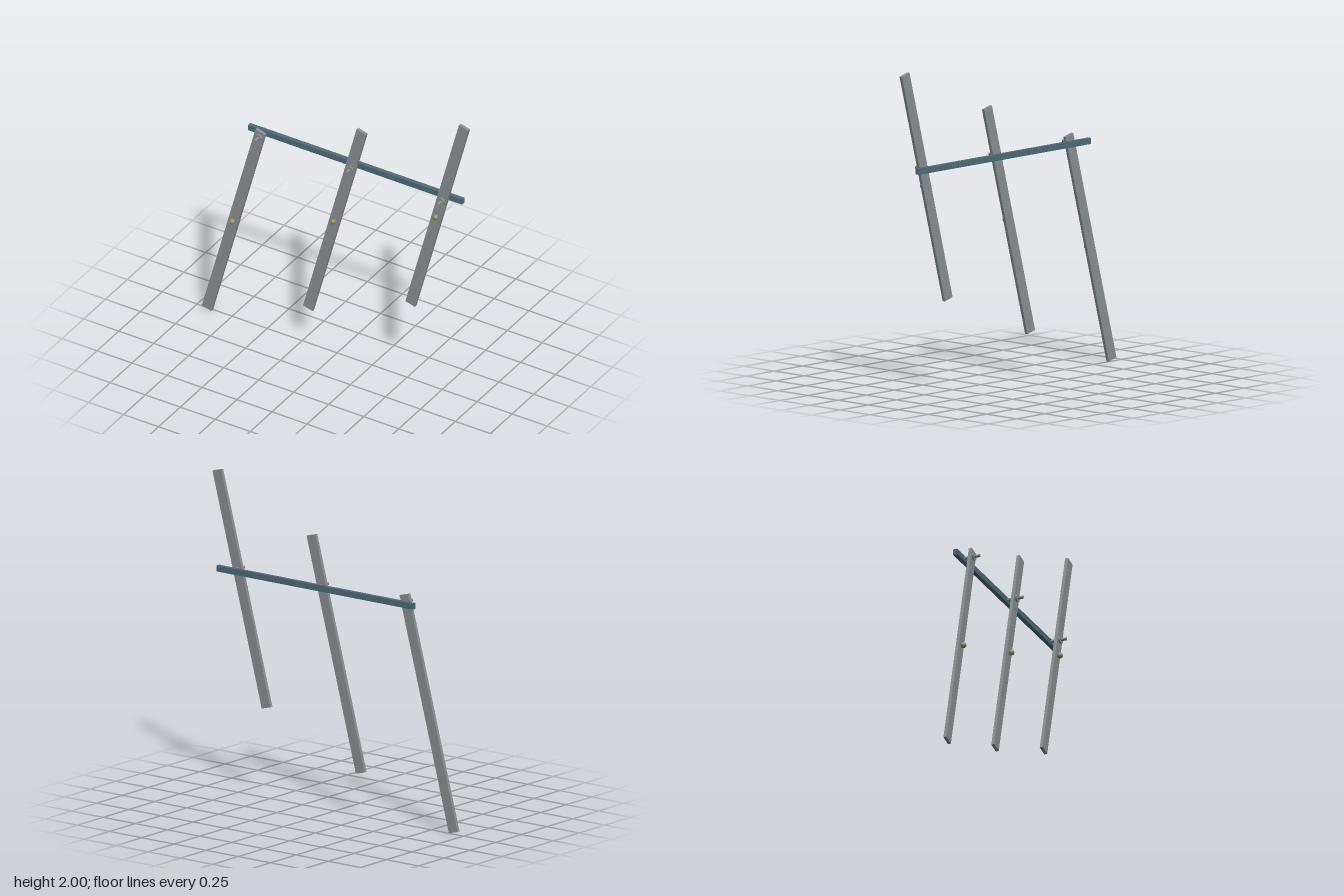
import * as THREE from 'three';

const mat = (color) => new THREE.MeshStandardMaterial({ color });

export function createModel() {
  const model = new THREE.Group();
  const steel = mat(0x8b9194), blue = mat(0x4f6d7a), brass = mat(0xa08c62);
  const tilt = THREE.MathUtils.degToRad(15);
  const railY = 1.398;

  const add = (parent, name, geometry, material, x, y, z) => {
    const mesh = new THREE.Mesh(geometry, material);
    mesh.name = name;
    mesh.position.set(x, y, z);
    parent.add(mesh);
    return mesh;
  };

  // Horizontal rail behind the bars
  add(model, 'rail', new THREE.BoxGeometry(1.528, 0.037, 0.027), blue, 0.104, railY - 0.001, -0.0515);

  const barGeo = new THREE.BoxGeometry(0.07, 1.48, 0.02);
  const pinGeo = new THREE.CylinderGeometry(0.0095, 0.0095, 0.105, 24).rotateX(Math.PI / 2);
  const collarGeo = new THREE.CylinderGeometry(0.025, 0.025, 0.01, 32).rotateX(Math.PI / 2);
  const markerGeo = new THREE.SphereGeometry(0.018, 24, 16);

  // Each leaning bar: pivot x on the rail, height of the bar's middle
  [[-0.549, 0.726], [0.104, 0.985], [0.757, 1.278]].forEach(([pivotX, midY], i) => {
    const unit = new THREE.Group();
    unit.name = `leaningBar${i + 1}`;
    const midX = pivotX - (railY - midY) * Math.tan(tilt);
    add(unit, 'bar', barGeo, steel, midX, midY, 0.01).rotation.z = -tilt;
    // Pivot pin running from the rail through the bar, with its collar
    add(unit, 'pivotPin', pinGeo, steel, pivotX, railY, 0.0125);
    add(unit, 'pivotCollar', collarGeo, steel, pivotX, railY, 0.025);
    // Ball marking the middle of the bar
    add(unit, 'centreBall', markerGeo, brass, midX, midY, 0.035);
    model.add(unit);
  });

  return model;
}
